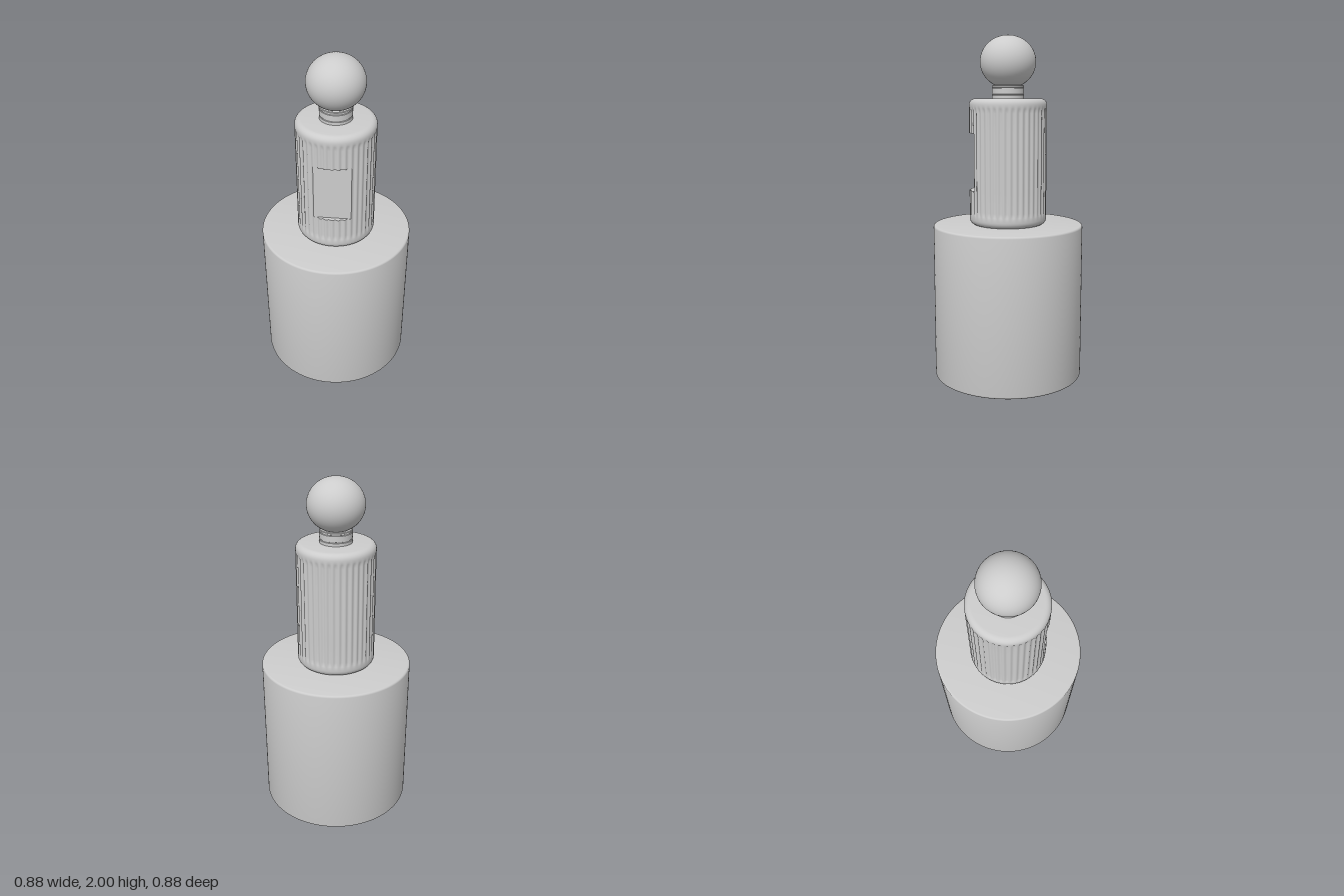
import * as THREE from 'three';
import { toCreasedNormals } from 'three/addons/utils/BufferGeometryUtils.js';

const BODY_R = 0.225;   // outer radius of the fluted body
const FLUTES = 40;
const FLUTE_DEPTH = 0.007;
const PANEL_Z = 0.198;  // plane of the flat recessed panel

// Smooth normals with sharp creases; enlarged first so close vertices stay apart
function crease(geometry, angle) {
  geometry.scale(100, 100, 100);
  const creased = toCreasedNormals(geometry, angle);
  creased.scale(0.01, 0.01, 0.01);
  return creased;
}

function lathe(profile, segments, angle = 0.45) {
  const points = profile.map(([r, y]) => new THREE.Vector2(r, y));
  return crease(new THREE.LatheGeometry(points, segments), angle);
}

// Quarter-round edge from (start) to (end) angle, as [radius, y] points
function roundEdge(r, y, size, start, end, steps) {
  const points = [];
  for (let i = 0; i <= steps; i++) {
    const a = start + (end - start) * i / steps;
    points.push([r + size * Math.cos(a), y + size * Math.sin(a)]);
  }
  return points;
}

// Solid cylinder profile with rounded rims
function drumProfile(r, y0, y1, size, steps) {
  return [
    [0, y0],
    ...roundEdge(r - size, y0 + size, size, -Math.PI / 2, 0, steps),
    ...roundEdge(r - size, y1 - size, size, 0, Math.PI / 2, steps),
    [0, y1],
  ];
}

// Rounded cylinder with vertical flutes and a flat panel cut into the front
function flutedBody() {
  const rim = 0.035;
  // rows: radius, y, flute strength, cut by panel
  const rows = [
    [0, 0.912, 0, 0],
    ...roundEdge(BODY_R - rim, 0.912 + rim, rim, -Math.PI / 2, 0, 6).map(([r, y]) => [r, y, 0, 0]),
    [BODY_R, 0.965, 0, 0], [BODY_R, 0.975, 0.35, 0], [BODY_R, 0.985, 0.8, 0], [BODY_R, 1.0, 1, 0],
    [BODY_R, 1.113, 1, 0], [BODY_R, 1.113, 1, 1],
    [BODY_R, 1.445, 1, 1], [BODY_R, 1.445, 1, 0],
    [BODY_R, 1.56, 1, 0], [BODY_R, 1.575, 0.8, 0], [BODY_R, 1.585, 0.35, 0], [BODY_R, 1.595, 0, 0],
    ...roundEdge(BODY_R - rim, 1.642 - rim, rim, 0, Math.PI / 2, 6).map(([r, y]) => [r, y, 0, 0]),
    [0, 1.642, 0, 0],
  ];
  const segments = FLUTES * 10;
  const geometry = new THREE.LatheGeometry(rows.map(([r, y]) => new THREE.Vector2(r, y)), segments);
  const pos = geometry.attributes.position;
  for (let i = 0; i < pos.count; i++) {
    const [r, y, strength, cut] = rows[i % rows.length];
    const a = Math.floor(i / rows.length) / segments * Math.PI * 2;
    const groove = FLUTE_DEPTH * strength * (0.5 - 0.5 * Math.cos(a * FLUTES));
    const radius = Math.max(0, r - groove);
    const z = radius * Math.cos(a);
    pos.setXYZ(i, radius * Math.sin(a), y, cut ? Math.min(z, PANEL_Z) : z);
  }
  return crease(geometry, 0.45);
}

export function createModel() {
  const group = new THREE.Group();
  const grey = new THREE.MeshStandardMaterial({ color: 0xcccccc });
  grey.name = 'light grey';

  function add(name, geometry) {
    const mesh = new THREE.Mesh(geometry, grey);
    mesh.name = name;
    group.add(mesh);
    return mesh;
  }

  // Wide drum at the bottom
  add('base', lathe(drumProfile(0.438, 0, 0.912, 0.012, 4), 128));

  // Fluted column
  add('body', flutedBody());

  // Neck with two fine grooves
  add('neck', lathe([
    [0.092, 1.635], [0.092, 1.659], [0.088, 1.661], [0.088, 1.664], [0.092, 1.666],
    [0.092, 1.699], [0.088, 1.701], [0.088, 1.704], [0.092, 1.706],
    [0.092, 1.714], [0.089, 1.718], [0, 1.718],
  ], 64));

  // Slightly flattened ball
  const ball = add('ball', new THREE.SphereGeometry(0.161, 64, 40));
  ball.scale.y = 0.15 / 0.161;
  ball.position.y = 1.85;

  return group;
}
